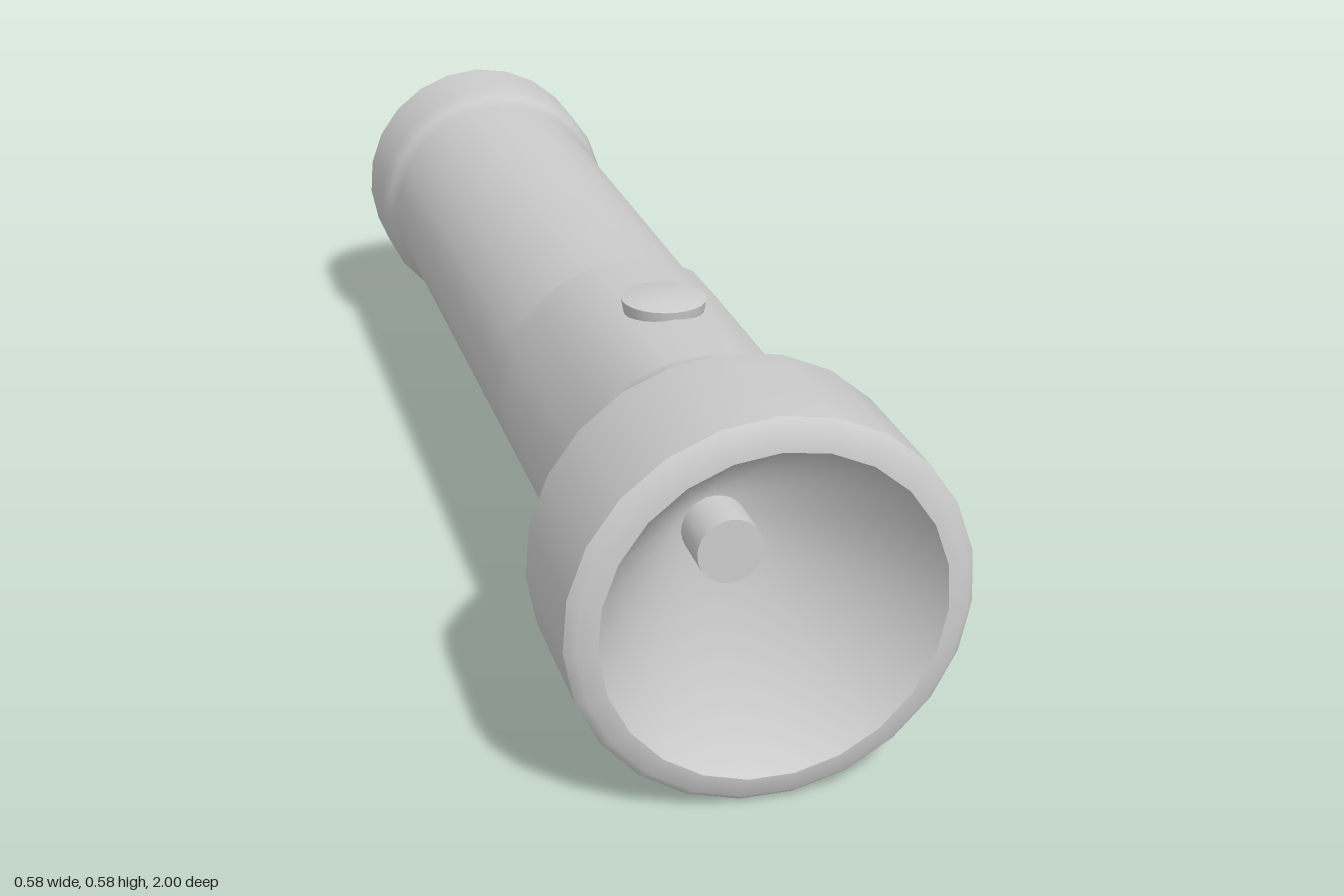
import * as THREE from 'three';
import { mergeVertices } from 'three/addons/utils/BufferGeometryUtils.js';

const SIDES = 23;
const AXIS_Y = 0.2887;

export function createModel() {
  const model = new THREE.Group();
  const material = new THREE.MeshStandardMaterial({ color: 0xcccccc });

  const add = (name, geometry, y = 0, z = 0) => {
    const mesh = new THREE.Mesh(geometry, material);
    mesh.name = name;
    mesh.position.set(0, y, z);
    model.add(mesh);
  };

  // Smooth shading with no seam
  const smooth = (geometry) => {
    geometry.deleteAttribute('uv');
    geometry.deleteAttribute('normal');
    const merged = mergeVertices(geometry, 1e-5);
    merged.computeVertexNormals();
    return merged;
  };

  // Revolves [z, radius] pairs around the long axis, with a vertex at the top
  const turned = (profile) => {
    const points = profile.map(([z, r]) => new THREE.Vector2(r, z));
    const start = Math.PI + 12 * 2 * Math.PI / SIDES;
    return new THREE.LatheGeometry(points, SIDES, start).rotateX(Math.PI / 2);
  };

  // Domed end of the tail cap
  add('tailDome', smooth(turned([
    [-1, 0], [-0.998, 0.115], [-0.975, 0.17], [-0.925, 0.228],
  ])), AXIS_Y);

  // Tail cap wall, grip tube and flared head in one skin
  const body = turned([
    [-0.925, 0.228], [-0.79, 0.228], [-0.755, 0.217], [-0.73, 0.205],
    [0.18, 0.205], [0.25, 0.205], [0.65, 0.205],
    [0.71, 0.258], [0.765, 0.29], [0.98, 0.29],
  ]);
  // Raise the top of the tube into a switch platform
  const pos = body.attributes.position;
  for (let i = 0; i < pos.count; i++) {
    const z = pos.getZ(i);
    if (z < 0.24 || z > 0.66) continue;
    const angle = Math.abs(Math.atan2(pos.getX(i), pos.getY(i)));
    const weight = angle < 0.6 ? 1 : angle < 0.9 ? 0.5 : 0;
    pos.setY(i, pos.getY(i) + 0.035 * weight);
  }
  add('body', smooth(body), AXIS_Y);

  // Rounded front rim
  add('rim', smooth(turned([[0.98, 0.29], [0.996, 0.276], [1, 0.247]])), AXIS_Y);

  // Conical reflector and bulb
  add('reflector', smooth(turned([[1, 0.247], [0.65, 0]])), AXIS_Y);
  add('bulb', new THREE.CylinderGeometry(0.05, 0.05, 0.15, 24).rotateX(Math.PI / 2), AXIS_Y, 0.725);

  // Switch button with a slightly domed top
  const button = [[0.06, -0.02], [0.065, 0.008]].map(([r, y]) => new THREE.Vector2(r, y));
  add('buttonSide', smooth(new THREE.LatheGeometry(button, 24)), 0.532, 0.45);
  const cap = [[0.065, 0.008], [0.035, 0.015], [0, 0.017]].map(([r, y]) => new THREE.Vector2(r, y));
  add('buttonTop', smooth(new THREE.LatheGeometry(cap, 24)), 0.532, 0.45);

  return model;
}
